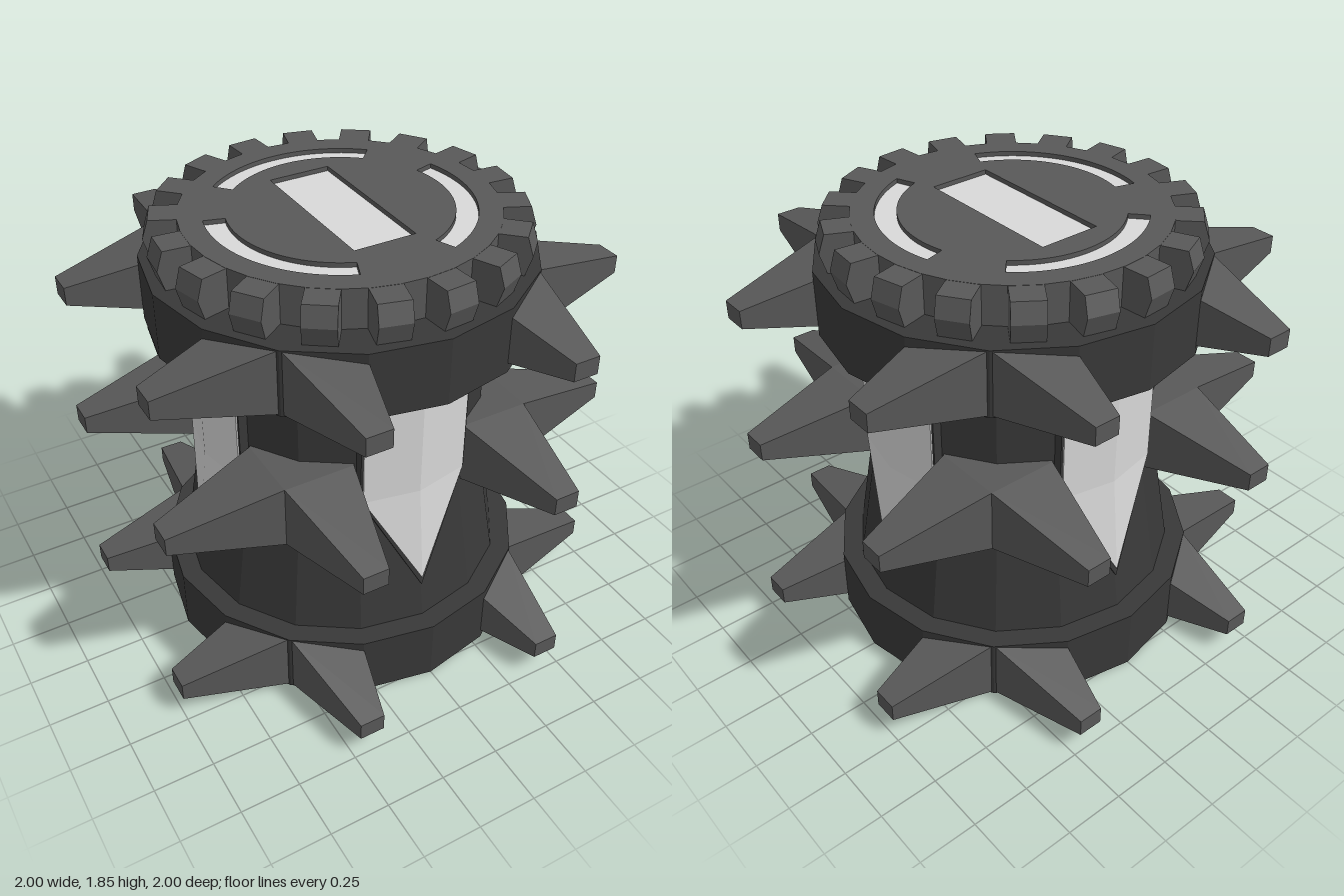
import * as THREE from 'three';

const material = (name, color) => {
  const m = new THREE.MeshStandardMaterial({ color });
  m.name = name;
  return m;
};

// Split faces so that every facet has its own normal
function flat(geometry) {
  const g = geometry.index ? geometry.toNonIndexed() : geometry;
  g.computeVertexNormals();
  return g;
}

function fromFaces(points, faces) {
  const g = new THREE.BufferGeometry();
  g.setAttribute('position', new THREE.Float32BufferAttribute(points.flat(), 3));
  g.setIndex(faces.flat());
  return flat(g);
}

function add(parent, name, geometry, mat) {
  const mesh = new THREE.Mesh(geometry, mat);
  mesh.name = name;
  parent.add(mesh);
  return mesh;
}

// Tapered spike pointing to +z, lofted through tip, base and buried root
function spikeGeometry(side) {
  const loops = [
    { xa: 0.37, za: 1, xb: 0.475, zb: 1, h: 0.038 },
    { xa: 0.25, za: 0.545, xb: 0.545, zb: 0.545, h: 0.135 },
    { xa: 0.2, za: 0.5, xb: 0.41, zb: 0.41, h: 0.135 },
  ];
  const points = [], faces = [[0, 1, 2], [0, 2, 3]];
  for (const { xa, za, xb, zb, h } of loops) {
    points.push([side * xa, -h, za], [side * xb, -h, zb], [side * xb, h, zb], [side * xa, h, za]);
  }
  for (let l = 0; l < 2; l++) {
    for (let i = 0; i < 4; i++) {
      const a = l * 4 + i, b = l * 4 + (i + 1) % 4;
      faces.push([a, a + 4, b], [b, a + 4, b + 4]);
    }
  }
  return fromFaces(points, side > 0 ? faces : faces.map(([a, b, c]) => [a, c, b]));
}

// Pointed panel folded along its centre line, with rims running back by depth
function panelGeometry(w, top, mid, tip, r, tipR, depth) {
  const edge = r - w * 0.199;
  const front = [
    [0, top, r], [-w, top, edge], [-w, mid, edge],
    [0, tip, tipR], [w, mid, edge], [w, top, edge],
  ];
  const points = [...front, ...front.map(([x, y, z]) => [x, y, z - depth]), [0, mid, r]];
  const faces = [[0, 1, 2], [0, 2, 12], [12, 2, 3], [12, 3, 4], [0, 12, 4], [0, 4, 5]];
  for (let i = 0; i < 6; i++) {
    const j = (i + 1) % 6;
    faces.push([i, i + 6, j], [j, i + 6, j + 6]);
  }
  return fromFaces(points, faces);
}

// Arc band and bar outlines for the lid markings
function arcBand(path, centre) {
  const a = THREE.MathUtils.degToRad(centre - 42), b = THREE.MathUtils.degToRad(centre + 42);
  path.absarc(0, 0, 0.525, a, b, false);
  path.absarc(0, 0, 0.44, b, a, true);
  path.closePath();
  return path;
}

function bar(path) {
  path.moveTo(-0.13, -0.33);
  path.lineTo(0.13, -0.33);
  path.lineTo(0.13, 0.33);
  path.lineTo(-0.13, 0.33);
  path.closePath();
  return path;
}

const arcCentres = [90, -26, 206];

export function createModel() {
  const model = new THREE.Group();
  model.name = 'spikedCanister';
  const dark = material('dark charcoal', 0x383838);
  const grey = material('mid grey', 0x585858);
  const light = material('light grey', 0xd8d8d8);

  // Sixteen-sided body and its two rings
  const drum = (name, rTop, rBottom, y0, y1) => {
    const g = flat(new THREE.CylinderGeometry(rTop, rBottom, y1 - y0, 16));
    add(model, name, g, dark).position.y = (y0 + y1) / 2;
  };
  drum('bottomRing', 0.78, 0.78, 0, 0.275);
  drum('flaredBody', 0.595, 0.695, 0.27, 0.87);
  drum('upperBody', 0.595, 0.595, 0.87, 1.42);
  drum('topRing', 0.78, 0.78, 1.412, 1.688);

  // Panels and spikes on each of the four sides
  const frame = panelGeometry(0.238, 1.412, 0.9, 0.43, 0.626, 0.677, 0.1);
  const plate = panelGeometry(0.23, 1.387, 0.9, 0.47, 0.632, 0.679, 0.008);
  const spikes = { right: spikeGeometry(-1), left: spikeGeometry(1) };
  for (let i = 0; i < 4; i++) {
    const sideGroup = new THREE.Group();
    sideGroup.name = 'side' + (i + 1);
    sideGroup.rotation.y = i * Math.PI / 2;
    model.add(sideGroup);
    add(sideGroup, 'panelFrame', frame, dark);
    add(sideGroup, 'panel', plate, light);
    for (const [y, level] of [[0.138, 'bottom'], [0.932, 'middle'], [1.55, 'top']]) {
      for (const hand of ['left', 'right']) {
        add(sideGroup, level + 'Spike_' + hand, spikes[hand], grey).position.y = y;
      }
    }
  }

  // Lid core with recessed markings
  const lid = new THREE.Group();
  lid.name = 'lid';
  model.add(lid);
  add(lid, 'lidCore', flat(new THREE.CylinderGeometry(0.62, 0.62, 0.14, 36)), grey).position.y = 1.755;
  const face = new THREE.Shape();
  face.absarc(0, 0, 0.62, 0, Math.PI * 2, false);
  face.holes.push(bar(new THREE.Path()), ...arcCentres.map((c) => arcBand(new THREE.Path(), c)));
  const faceGeometry = new THREE.ExtrudeGeometry(face, { depth: 0.025, bevelEnabled: false, curveSegments: 18 });
  faceGeometry.rotateX(-Math.PI / 2);
  add(lid, 'lidFace', flat(faceGeometry), grey).position.y = 1.824;
  const marks = [bar(new THREE.Shape()), ...arcCentres.map((c) => arcBand(new THREE.Shape(), c))];
  marks.forEach((shape, i) => {
    const g = new THREE.ShapeGeometry(shape, 18).rotateX(-Math.PI / 2);
    add(lid, i ? 'arcMark' : 'barMark', g, light).position.y = 1.83;
  });

  // Bevelled teeth around the lid
  const profile = new THREE.Shape([
    [0.56, 1.688], [0.725, 1.688], [0.75, 1.77], [0.725, 1.848], [0.56, 1.848],
  ].map(([x, y]) => new THREE.Vector2(x, y)));
  const tooth = new THREE.ExtrudeGeometry(profile, { depth: 0.125, bevelEnabled: false });
  tooth.translate(0, 0, -0.0625);
  const toothGeometry = flat(tooth);
  for (let i = 0; i < 18; i++) {
    const t = add(lid, 'tooth', toothGeometry, grey);
    t.rotation.y = THREE.MathUtils.degToRad(95 + i * 20);
  }
  return model;
}
